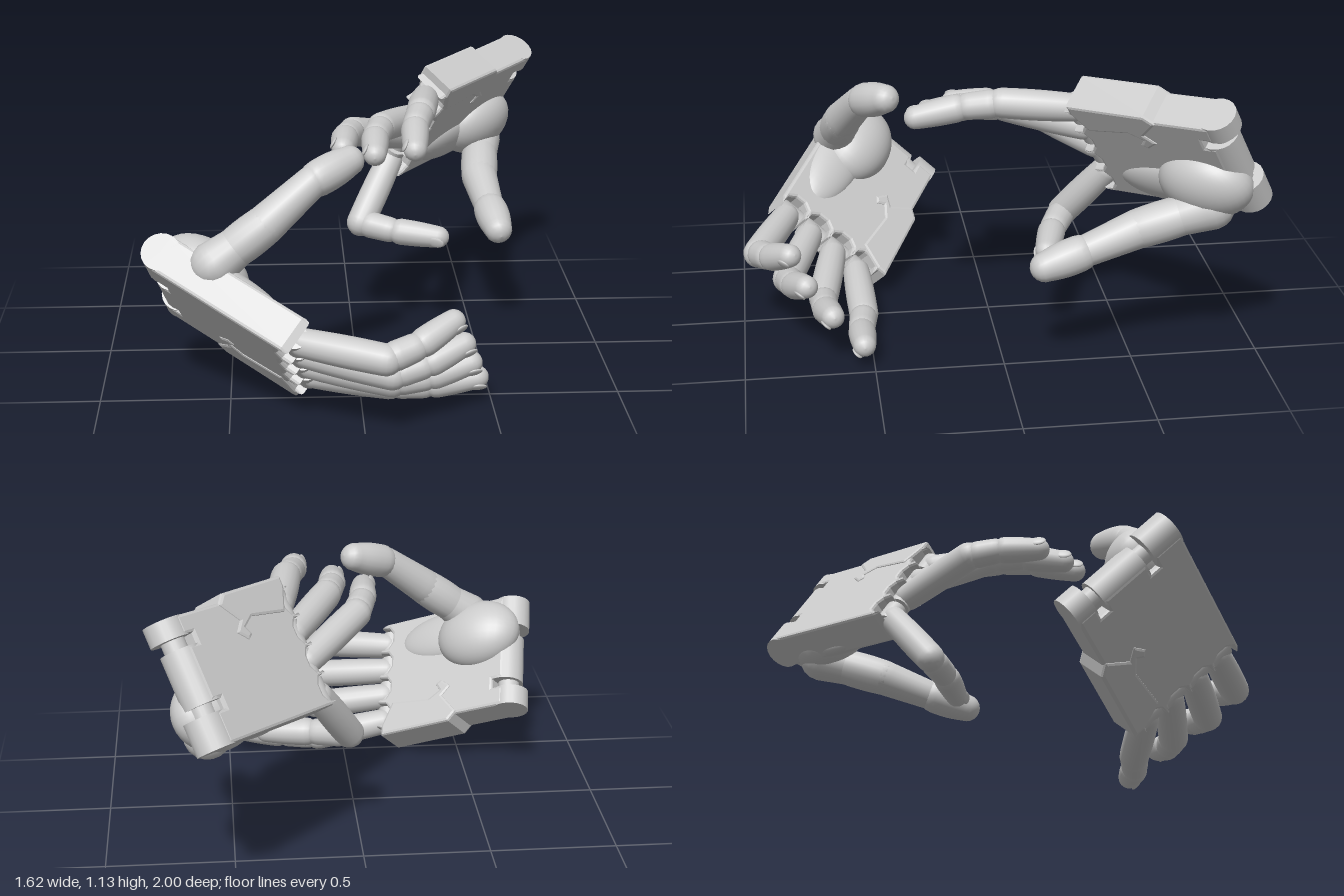
import * as THREE from 'three';

const mat = new THREE.MeshStandardMaterial({ color: 0xcccccc, roughness: 0.6 });
const V3 = (a) => new THREE.Vector3(...a);

function add(parent, geo, name) {
  const m = new THREE.Mesh(geo, mat);
  m.name = name;
  parent.add(m);
  return m;
}

// Tapered rod with rounded ends centred on a and b, optional swelling in the middle
function limb(parent, a, b, ra, rb, name, swell = 0) {
  const len = a.distanceTo(b), pts = [];
  for (let i = 0; i <= 5; i++) {
    const t = (i / 5) * Math.PI / 2;
    pts.push(new THREE.Vector2(ra * Math.sin(t), -ra * Math.cos(t)));
  }
  for (let i = 1; i < 6; i++) {
    const t = i / 6;
    pts.push(new THREE.Vector2(ra + (rb - ra) * t + swell * Math.sin(t * Math.PI), len * t));
  }
  for (let i = 0; i <= 5; i++) {
    const t = (i / 5) * Math.PI / 2;
    pts.push(new THREE.Vector2(rb * Math.cos(t), len + rb * Math.sin(t)));
  }
  pts[0].x = 0;
  pts[pts.length - 1].x = 0;
  const m = add(parent, new THREE.LatheGeometry(pts, 18), name);
  m.position.copy(a);
  m.quaternion.setFromUnitVectors(new THREE.Vector3(0, 1, 0), b.clone().sub(a).normalize());
}

// Short pin along an axis
function pin(parent, at, axis, r, length, name) {
  const m = add(parent, new THREE.CylinderGeometry(r, r, length, 20), name);
  m.position.copy(at);
  m.quaternion.setFromUnitVectors(new THREE.Vector3(0, 1, 0), axis);
}

function ellipsoid(parent, size, at, name) {
  const m = add(parent, new THREE.SphereGeometry(1, 32, 20), name);
  m.scale.set(...size);
  m.position.set(...at);
}

function extrude(pts, depth, bevel) {
  const shape = new THREE.Shape(pts.map(([x, y]) => new THREE.Vector2(x, y)));
  return new THREE.ExtrudeGeometry(shape, {
    depth: depth - 2 * bevel, bevelEnabled: true, bevelThickness: bevel,
    bevelSize: bevel, bevelOffset: -bevel, bevelSegments: 2,
  }).translate(0, 0, -depth / 2 + bevel);
}

// side = 1 or -1 mirrors the layout across the palm
function makeHand({ name, side, wrist, knuckles, across, fingers, thumb, half }) {
  const hand = new THREE.Group();
  hand.name = name;
  const W = V3(wrist), U = V3(knuckles).sub(W), L = U.length();
  U.normalize();
  const V = V3(across).multiplyScalar(side);
  V.addScaledVector(U, -V.dot(U)).normalize();
  const N = U.clone().cross(V); // out of the palm
  const flip = (pts) => pts.map(([u, v]) => [u, v * side]);

  const palm = new THREE.Group();
  palm.name = 'palm';
  palm.position.copy(W);
  palm.quaternion.setFromRotationMatrix(new THREE.Matrix4().makeBasis(U, V, N));
  hand.add(palm);
  const T = 0.15;
  const step = (half * 2 - 0.02) / 4;
  const rows = [-1.5, -0.5, 0.5, 1.5].map((k) => k * step);

  // palm plate: hinge slots at the wrist, a socket for every finger
  const outline = [[0.02, -half], [L - 0.02, -half]];
  for (const v of rows) {
    outline.push([L + 0.01, v - 0.057], [L - 0.03, v - 0.048], [L - 0.05, v - 0.02],
      [L - 0.05, v + 0.02], [L - 0.03, v + 0.048], [L + 0.01, v + 0.057]);
  }
  outline.push([L - 0.02, half], [0.02, half]);
  for (const v of [0.15, -0.1]) {
    outline.push([0.02, v + 0.02], [0.07, v + 0.02], [0.07, v - 0.02], [0.02, v - 0.02]);
  }
  add(palm, extrude(flip(outline), T, 0.012), 'palmPlate');

  // wrist hinge lugs, the middle one set back
  for (const [a, b, u] of [[-half, -0.12, 0.02], [-0.08, 0.13, 0.045], [0.17, half, 0.02]]) {
    pin(palm, new THREE.Vector3(u, side * (a + b) / 2, 0), new THREE.Vector3(0, 1, 0), T / 2, b - a, 'wristLug');
  }
  pin(palm, new THREE.Vector3(0.03, 0, 0), new THREE.Vector3(0, 1, 0), 0.045, half * 1.9, 'wristPin');

  // cover wrapped round the outer edge, with an angular latch
  const cover = [[0.24, half - 0.01], [0.31, 0.16], [0.27, 0.12], [0.32, 0.08], [0.35, 0.1], [0.33, 0.13],
    [0.38, 0.16], [L - 0.07, 0.14], [L - 0.02, half - 0.01], [L - 0.02, half + 0.035], [0.28, half + 0.03]];
  add(palm, extrude(flip(cover), T + 0.012, 0.012), 'latchCover');

  // broad swelling at the root of the thumb, running on towards the index finger
  ellipsoid(palm, [0.19, 0.15, 0.12], [0.15, side * -0.105, 0.06], 'thumbMound');
  ellipsoid(palm, [0.24, 0.11, 0.06], [0.3, side * -0.14, 0.05], 'thumbWeb');

  // fingers: knuckle, long first link, short middle link, rounded tip
  fingers.forEach(([bendAt, tipAt], i) => {
    const f = new THREE.Group();
    f.name = ['indexFinger', 'middleFinger', 'ringFinger', 'littleFinger'][i];
    hand.add(f);
    const base = W.clone().addScaledVector(U, L - 0.005).addScaledVector(V, side * rows[i]);
    const bend = V3(bendAt), end = V3(tipAt);
    const dir = end.clone().sub(bend).normalize();
    const first = bend.clone().sub(base).normalize();
    const tip = end.clone().addScaledVector(dir, -0.045);
    const axis = V.clone().addScaledVector(dir, -V.dot(dir)).normalize();
    const back = axis.clone().cross(dir); // back of the fingertip
    const mid = bend.clone().lerp(tip, 0.45).addScaledVector(back, 0.015);

    pin(f, base, V, 0.045, 0.1, 'knucklePin');
    limb(f, base.clone().addScaledVector(first, 0.025), bend, 0.055, 0.059, 'firstLink', 0.003);
    limb(f, bend.clone().lerp(mid, 0.3), mid.clone().lerp(bend, 0.15), 0.056, 0.053, 'middleLink');
    limb(f, mid.clone().lerp(tip, 0.15), tip, 0.055, 0.045, 'fingertip', 0.002);

    // nail
    const nail = add(f, new THREE.SphereGeometry(1, 14, 10), 'nail');
    nail.scale.set(0.025, 0.035, 0.008);
    nail.quaternion.setFromRotationMatrix(new THREE.Matrix4().makeBasis(dir.clone().cross(back), dir, back));
    nail.position.copy(tip).addScaledVector(back, 0.042);
  });

  // thumb: flared root, waisted link and fuller tip
  const t = new THREE.Group();
  t.name = 'thumb';
  hand.add(t);
  const [p0, p1, p2, p3] = thumb.map(V3);
  limb(t, p0, p0.clone().lerp(p1, 0.5), 0.09, 0.074, 'thumbRoot');
  limb(t, p0.clone().lerp(p1, 0.3), p1, 0.074, 0.076, 'thumbLowerLink', 0.004);
  limb(t, p1, p2, 0.076, 0.062, 'thumbUpperLink');
  limb(t, p2.clone().lerp(p3, 0.12), p3.clone().lerp(p2, 0.3), 0.07, 0.058, 'thumbTip', 0.005);
  return hand;
}

export function createModel() {
  const model = new THREE.Group();
  model.name = 'pairOfMechanicalHands';

  model.add(makeHand({
    name: 'lowerHand', side: 1, half: 0.255,
    wrist: [-0.73, 0.475, 0.375], knuckles: [-0.22, 0.24, 0.67], across: [0.05, -0.33, -0.38],
    fingers: [
      [[0.07, 0.34, 0.93], [0.36, 0.45, 0.79]],
      [[0.1, 0.235, 0.82], [0.41, 0.335, 0.74]],
      [[0.11, 0.145, 0.68], [0.45, 0.215, 0.65]],
      [[0.11, 0.064, 0.52], [0.49, 0.1, 0.54]],
    ],
    thumb: [[-0.55, 0.59, 0.59], [-0.36, 0.73, 0.56], [-0.18, 0.875, 0.49], [0.02, 0.95, 0.37]],
  }));

  model.add(makeHand({
    name: 'upperHand', side: -1, half: 0.245,
    wrist: [0.66, 0.89, -0.85], knuckles: [0.24, 0.835, -0.385], across: [0.18, 0.36, 0.155],
    fingers: [
      [[0.04, 0.445, -0.3], [0.4, 0.41, -0.17]],
      [[0.0, 0.885, -0.15], [-0.06, 0.9, 0.18]],
      [[0.11, 0.93, -0.05], [0.06, 0.9, 0.29]],
      [[0.265, 1.0, -0.02], [0.21, 0.93, 0.35]],
    ],
    thumb: [[0.59, 0.67, -0.77], [0.56, 0.58, -0.5], [0.58, 0.51, -0.3], [0.61, 0.44, -0.07]],
  }));

  return model;
}
